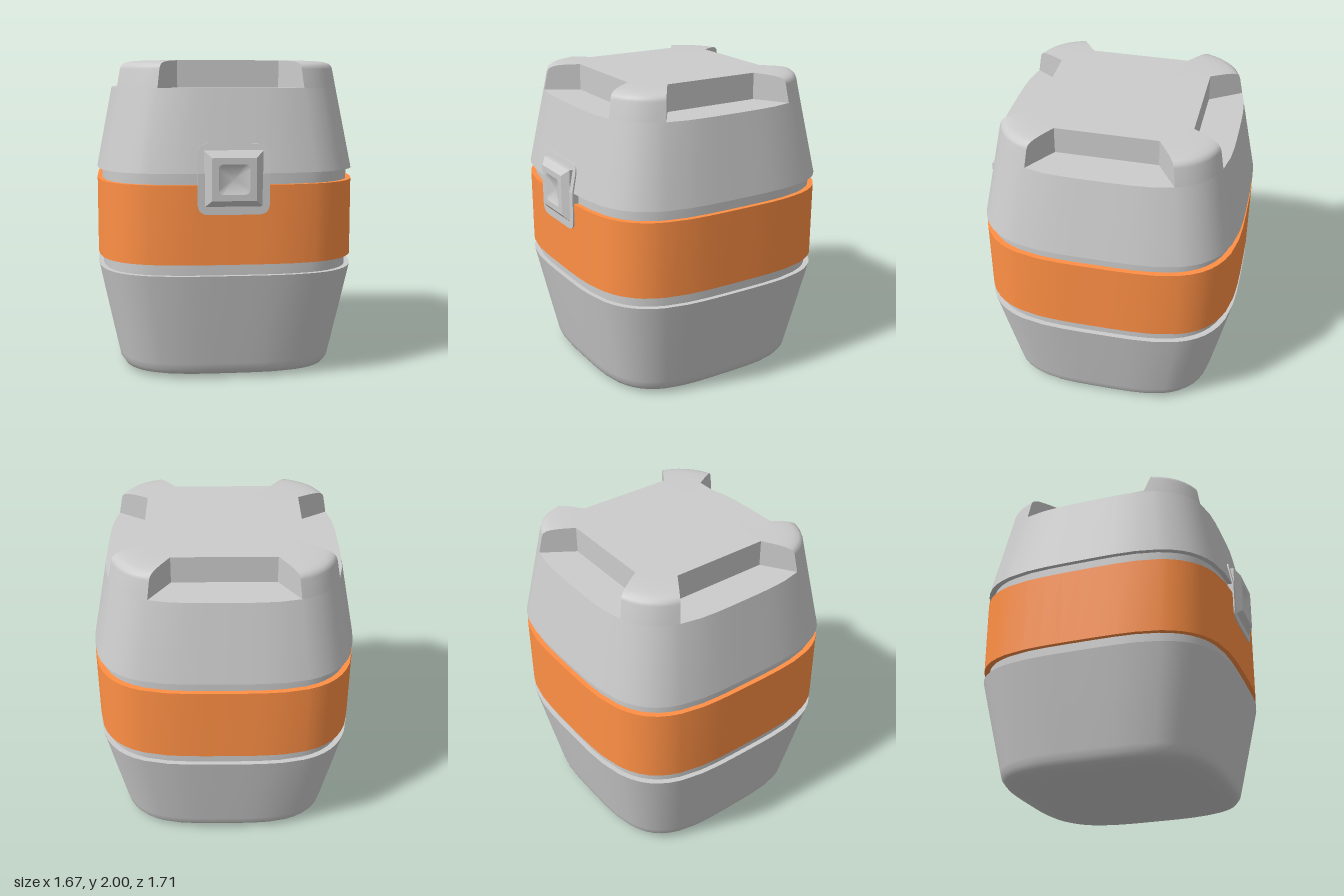
import * as THREE from 'three';
import { mergeGeometries } from 'three/addons/utils/BufferGeometryUtils.js';

const grey = new THREE.MeshStandardMaterial({ color: 0xcccccc });
const orange = new THREE.MeshStandardMaterial({ color: 0xff9045 });
const NOTCH = Math.atan(0.646); // half angle of each lid notch
const FLOOR = 1.83, TOP = 2, INNER = 0.5216;

// Skin between rows of points; smooth inside one skin
function skin(rows, closed = false) {
  const n = rows[0].length, idx = [];
  for (let i = 0; i < rows.length - 1; i++) {
    for (let j = 0; j < (closed ? n : n - 1); j++) {
      const k = (j + 1) % n;
      const a = i * n + j, b = i * n + k, c = a + n, d = b + n;
      idx.push(a, b, d, a, d, c);
    }
  }
  const g = new THREE.BufferGeometry();
  g.setAttribute('position', new THREE.Float32BufferAttribute(rows.flat(2), 3));
  g.setIndex(idx);
  g.computeVertexNormals();
  return g;
}

// Point on the squircle outline of half width s at angle a
function rim(s, y, a) {
  const n = 3.6, sx = Math.sin(a), cz = Math.cos(a);
  const r = s / Math.pow(Math.abs(sx) ** n + Math.abs(cz) ** n, 1 / n);
  return [r * sx, y, r * cz];
}

const octant = [0, 0.14, 0.28, 0.42, NOTCH, 0.65, 0.72];
const quarter = [...octant, Math.PI / 4, ...octant.slice(1).reverse().map(a => Math.PI / 2 - a)];
const around = [0, 1, 2, 3].flatMap(q => quarter.map(a => a + q * Math.PI / 2));

// Full ring surface from a [half width, height] profile
const shell = profile => skin(profile.map(([s, y]) => around.map(a => rim(s, y, a))), true);

function mesh(name, parts, material = grey) {
  const m = new THREE.Mesh(parts.length > 1 ? mergeGeometries(parts) : parts[0], material);
  m.name = name;
  return m;
}

// Raised lid centre and four rounded corner blocks between the notches
function lidTop() {
  const parts = [];
  const profile = [[0.735, FLOOR], [0.713, 1.945], [0.706, 1.965], [0.69, 1.98],
    [0.66, 1.99], [0.61, 1.996], [INNER, TOP], [0.3, TOP], [0, TOP]];
  const edge = profile.slice(0, 7);
  const corner = quarter.filter(a => a > NOTCH - 1e-6 && a < Math.PI / 2 - NOTCH + 1e-6);
  for (let q = 0; q < 4; q++) {
    const t = q * Math.PI / 2;
    parts.push(skin(profile.map(([s, y]) => corner.map(a => rim(s, y, a + t)))));
    // end walls of the notches
    const wall = (a, list) => skin([
      list.map(([s]) => rim(s, FLOOR, a)),
      list.map(([s, y]) => rim(s, y, a))]);
    parts.push(wall(t + NOTCH, [...edge].reverse()));
    parts.push(wall(t + Math.PI / 2 - NOTCH, edge));
    // inner wall of the notch and the flat top behind it
    const line = (s, y) => [rim(s, y, t - NOTCH), rim(s, y, t + NOTCH)];
    parts.push(skin([line(INNER, FLOOR), line(INNER, TOP)]));
    parts.push(skin([line(INNER, TOP), line(0, TOP)]));
  }
  return parts;
}

// Rounded rectangle as a counter-clockwise loop of [x, y]
function roundRect(w, h, r) {
  const pts = [];
  [[1, -1], [1, 1], [-1, 1], [-1, -1]].forEach(([sx, sy], k) => {
    for (let i = 0; i <= 5; i++) {
      const a = (k - 1 + i / 5) * Math.PI / 2;
      pts.push([sx * (w - r) + r * Math.cos(a), sy * (h - r) + r * Math.sin(a)]);
    }
  });
  return pts;
}

// Half of the latch plate: straight edge at y = 0, rounded corners at y = h
function halfPlate(h, dir) {
  const w = 0.22, r = 0.07, s = new THREE.Shape();
  s.moveTo(-w, 0);
  s.lineTo(w, 0);
  s.lineTo(w, dir * (h - r));
  s.quadraticCurveTo(w, dir * h, w - r, dir * h);
  s.lineTo(r - w, dir * h);
  s.quadraticCurveTo(-w, dir * h, -w, dir * (h - r));
  s.closePath();
  return new THREE.ExtrudeGeometry(s, { depth: 0.08, bevelEnabled: false, curveSegments: 6 });
}

function latch() {
  const g = new THREE.Group();
  g.name = 'latch';

  // plate bends to follow the sloping lid
  const lower = halfPlate(0.25, -1), upper = halfPlate(0.18, 1);
  const p = upper.attributes.position;
  for (let i = 0; i < p.count; i++) p.setZ(i, p.getZ(i) - 0.196 * p.getY(i));
  upper.computeVertexNormals();
  const plate = mesh('latchPlate', [lower, upper]);
  plate.position.set(0, 1.32, 0.742);

  // bevelled block with an opening for the button
  const square = (w, h, z) => [[-w, -h, z], [w, -h, z], [w, h, z], [-w, h, z]];
  const sides = [[0.18, 0.172, 0.77], [0.18, 0.172, 0.818], [0.135, 0.13, 0.856]]
    .map(([w, h, z]) => square(w, h, z));
  const block = skin(sides, true).toNonIndexed();
  block.computeVertexNormals();
  const toV2 = ([x, y]) => new THREE.Vector2(x, y);
  const face = new THREE.Shape(square(0.135, 0.13, 0).map(toV2));
  face.holes.push(new THREE.Path(roundRect(0.095, 0.092, 0.03).map(toV2)));
  const front = new THREE.ShapeGeometry(face).translate(0, 0, 0.856).toNonIndexed();
  front.deleteAttribute('uv');
  const frame = mesh('latchBlock', [block, front]);

  // shallow dished button
  const dish = [1, 0.85, 0.65, 0.4, 0.2, 0].map(k =>
    roundRect(0.095, 0.092, 0.03).map(([x, y]) => [x * k, y * k, 0.834 + 0.022 * k * k]));
  const button = mesh('latchButton', [skin(dish, true)]);
  frame.position.y = button.position.y = 1.288;
  g.add(plate, frame, button);
  return g;
}

export function createModel() {
  const model = new THREE.Group();
  model.name = 'container';
  const body = new THREE.Group();
  body.name = 'body';
  body.position.z = -0.02;

  // tapered base with rounded bottom edge
  body.add(mesh('base', [
    shell([[0, 0], [0.3, 0], [0.56, 0.006], [0.64, 0.014], [0.683, 0.03], [0.703, 0.06],
      [0.712, 0.1], [0.77, 0.375], [0.835, 0.69]]),
    shell([[0.835, 0.69], [0.8, 0.69]])]));

  // recessed grooves above and below the band
  body.add(mesh('lowerGroove', [shell([[0.804, 0.68], [0.804, 0.77]])]));
  body.add(mesh('upperGroove', [shell([[0.804, 1.24], [0.804, 1.33]])]));

  // coloured band
  body.add(mesh('band', [
    shell([[0.8, 0.76], [0.835, 0.76]]),
    shell([[0.835, 0.76], [0.835, 1.25]]),
    shell([[0.835, 1.25], [0.8, 1.25]])], orange));

  // tapered lid wall, notch floors and raised top
  body.add(mesh('lid', [
    shell([[0.8, 1.32], [0.835, 1.32]]),
    shell([[0.835, 1.32], [0.735, FLOOR]]),
    shell([[0.735, FLOOR], [0.4, FLOOR]])]));
  body.add(mesh('lidTop', lidTop()));

  model.add(body, latch());
  return model;
}
